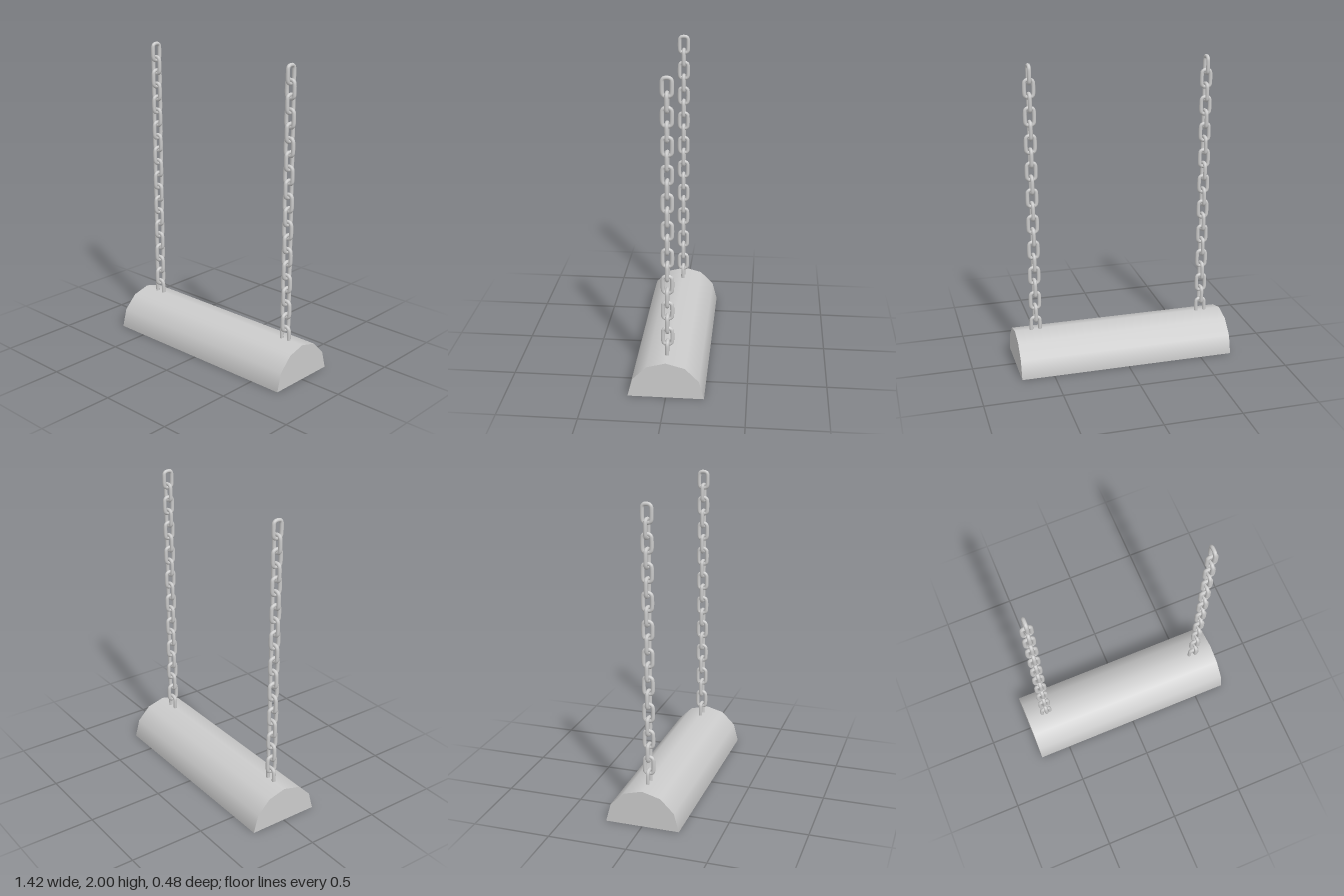
import * as THREE from 'three';

const LENGTH = 1.424, RADIUS = 0.238;         // housing
const OPEN_X = 0.65, OPEN_Z = 0.18;           // half size of the opening underneath
const grey = new THREE.MeshStandardMaterial({ color: 0xcccccc });
const greyBoth = new THREE.MeshStandardMaterial({ color: 0xcccccc, side: THREE.DoubleSide });

function add(parent, name, geometry, material = grey) {
  const mesh = new THREE.Mesh(geometry, material);
  mesh.name = name;
  parent.add(mesh);
  return mesh;
}

// Half of a twelve-sided tube lying along x, arching upward
function halfTube(radius, length) {
  return new THREE.CylinderGeometry(radius, radius, length, 6, 1, true, 0, Math.PI).rotateZ(Math.PI / 2);
}

// Rod lying along x
function rod(radius, length, sides) {
  return new THREE.CylinderGeometry(radius, radius, length, sides).rotateZ(Math.PI / 2);
}

// Closed wire loop with rounded corners, upright in the xy plane
function linkGeometry() {
  const w = 0.028, h = 0.054, r = 0.02, pts = [];
  const corners = [[1, 1, 0], [-1, 1, 1], [-1, -1, 2], [1, -1, 3]];
  for (const [sx, sy, quarter] of corners) {
    for (let i = 0; i <= 3; i++) {
      const a = (quarter + i / 3) * Math.PI / 2;
      pts.push(new THREE.Vector3(sx * (w - r) + r * Math.cos(a), sy * (h - r) + r * Math.sin(a), 0));
    }
  }
  const path = new THREE.CatmullRomCurve3(pts, true);
  return new THREE.TubeGeometry(path, 36, 0.0125, 8, true);
}

function createHousing() {
  const housing = new THREE.Group();
  housing.name = 'housing';
  add(housing, 'shell', halfTube(RADIUS, LENGTH));
  add(housing, 'reflector', halfTube(OPEN_Z, OPEN_X * 2), greyBoth);
  for (const s of [-1, 1]) {
    add(housing, 'endCap', new THREE.CircleGeometry(RADIUS, 6, 0, Math.PI).rotateY(s * Math.PI / 2))
      .position.x = s * LENGTH / 2;
    add(housing, 'reflectorEnd', new THREE.CircleGeometry(OPEN_Z, 6, 0, Math.PI).rotateY(-s * Math.PI / 2))
      .position.x = s * OPEN_X;
  }

  // Flat rim around the opening, facing down
  const rim = new THREE.Shape();
  const x = LENGTH / 2;
  rim.moveTo(-x, -RADIUS).lineTo(x, -RADIUS).lineTo(x, RADIUS).lineTo(-x, RADIUS).closePath();
  const hole = new THREE.Path();
  hole.moveTo(-OPEN_X, -OPEN_Z).lineTo(-OPEN_X, OPEN_Z).lineTo(OPEN_X, OPEN_Z).lineTo(OPEN_X, -OPEN_Z).closePath();
  rim.holes.push(hole);
  add(housing, 'rim', new THREE.ShapeGeometry(rim).rotateX(Math.PI / 2), greyBoth);
  return housing;
}

// Heating tube with a socket at each end
function createLamp() {
  const lamp = new THREE.Group();
  lamp.name = 'lamp';
  lamp.position.y = 0.07;
  add(lamp, 'lampTube', rod(0.036, 1.2, 16));
  for (const s of [-1, 1]) add(lamp, 'lampSocket', rod(0.022, 0.06, 12)).position.x = s * 0.62;
  return lamp;
}

// Wire guard across the opening
function createGuard() {
  const guard = new THREE.Group();
  guard.name = 'guard';
  guard.position.y = 0.01;
  const across = 22, along = 7, wire = 0.003;
  for (let i = 1; i < across; i++) {
    add(guard, 'crossWire', new THREE.CylinderGeometry(wire, wire, OPEN_Z * 2, 6).rotateX(Math.PI / 2))
      .position.x = OPEN_X * (2 * i / across - 1);
  }
  for (let i = 1; i < along; i++) {
    add(guard, 'longWire', rod(wire, OPEN_X * 2, 6)).position.z = OPEN_Z * (2 * i / along - 1);
  }
  return guard;
}

// Hanging chain: each link is turned a quarter from the one above
function createChain(name, x, geometry) {
  const chain = new THREE.Group();
  chain.name = name;
  chain.position.x = x;
  for (let i = 0; i < 20; i++) {
    const link = add(chain, 'chainLink', geometry);
    link.position.y = 2 - 0.0665 - i * 0.0878;
    link.rotation.y = i % 2 ? 0 : Math.PI / 2;
  }
  return chain;
}

export function createModel() {
  const model = new THREE.Group();
  model.name = 'hangingHeatLamp';
  const link = linkGeometry();
  model.add(
    createHousing(), createLamp(), createGuard(),
    createChain('leftChain', 0.572, link), createChain('rightChain', -0.572, link)
  );
  return model;
}
